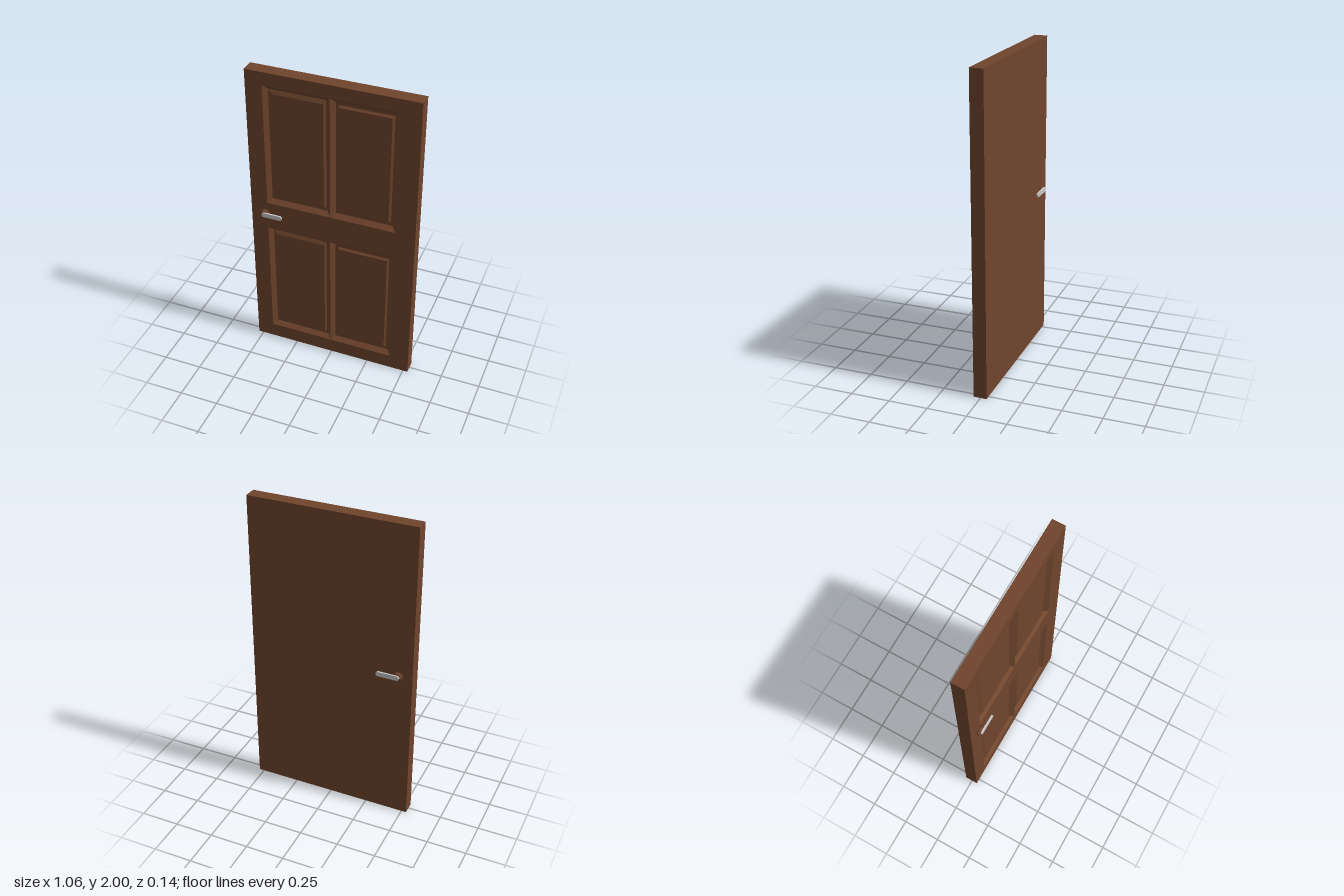
import * as THREE from 'three';

const brown = new THREE.MeshStandardMaterial({ color: 0x70452d });
brown.name = 'brown wood';
const grey = new THREE.MeshStandardMaterial({ color: 0xc8c8c8 });
grey.name = 'light grey metal';

const HALF_W = 0.532, HEIGHT = 2, FRONT = 0.041, BACK = -0.043, DEPTH = 0.025;

function add(parent, name, geometry, material) {
  const mesh = new THREE.Mesh(geometry, material);
  mesh.name = name;
  parent.add(mesh);
  return mesh;
}

function rectangle(target, x0, x1, y0, y1) {
  target.moveTo(x0, y0);
  target.lineTo(x1, y0);
  target.lineTo(x1, y1);
  target.lineTo(x0, y1);
  target.closePath();
  return target;
}

// Joins nested rectangles [x0, x1, y0, y1, z] into mitred slopes and caps the last one.
function steppedPanel(rects) {
  const loops = rects.map(([x0, x1, y0, y1, z]) => [[x0, y0, z], [x1, y0, z], [x1, y1, z], [x0, y1, z]]);
  const pos = [];
  const quad = (a, b, c, d) => pos.push(...a, ...b, ...c, ...a, ...c, ...d);
  for (let i = 0; i + 1 < loops.length; i++) {
    for (let k = 0; k < 4; k++) {
      const n = (k + 1) % 4;
      quad(loops[i][k], loops[i][n], loops[i + 1][n], loops[i + 1][k]);
    }
  }
  quad(...loops[loops.length - 1]);
  const g = new THREE.BufferGeometry();
  g.setAttribute('position', new THREE.Float32BufferAttribute(pos, 3));
  g.computeVertexNormals();
  return g;
}

// Rosette and lever, pointing out along +z from the origin
function handle(name, length) {
  const group = new THREE.Group();
  group.name = name;
  const profile = [[0.027, 0], [0.031, 0.004], [0.029, 0.009], [0.019, 0.018], [0, 0.018]]
    .map(([r, y]) => new THREE.Vector2(r, y));
  const rosetteGeometry = new THREE.LatheGeometry(profile, 20).toNonIndexed();
  rosetteGeometry.computeVertexNormals();
  const rosette = add(group, 'rosette', rosetteGeometry, brown);
  rosette.rotation.x = Math.PI / 2;

  const r = 0.015;
  const bar = new THREE.Shape();
  bar.absarc(0, 0, r, Math.PI / 2, Math.PI * 1.5, false);
  bar.absarc(length - 2 * r, 0, r, -Math.PI / 2, Math.PI / 2, false);
  bar.closePath();
  const lever = add(group, 'lever',
    new THREE.ExtrudeGeometry(bar, { depth: 0.011, bevelEnabled: false, curveSegments: 8 }), grey);
  lever.position.z = 0.017;
  return group;
}

export function createModel() {
  const model = new THREE.Group();
  model.name = 'door';
  const door = new THREE.Group();
  door.name = 'doorLeaf';
  door.rotation.y = -0.0055; // hangs very slightly ajar
  model.add(door);

  // Solid back of the leaf
  const slabDepth = FRONT - DEPTH - 0.002 - BACK;
  const slab = add(door, 'backSlab', new THREE.BoxGeometry(2 * HALF_W, HEIGHT - 0.001, slabDepth), brown);
  slab.position.set(0, HEIGHT / 2 + 0.0005, BACK + slabDepth / 2);

  // Front frame with an upper and a lower opening
  const rows = [[0.1, 0.915], [1.1, 1.915]];
  const X0 = -0.425, MID = -0.008, X1 = 0.407;
  const frame = rectangle(new THREE.Shape(), -HALF_W, HALF_W, 0.001, HEIGHT);
  for (const [y0, y1] of rows) frame.holes.push(rectangle(new THREE.Path(), X0, X1, y0, y1));
  const frameMesh = add(door, 'frontFrame',
    new THREE.ExtrudeGeometry(frame, { depth: DEPTH + 0.002, bevelEnabled: false }), brown);
  frameMesh.position.z = FRONT - DEPTH - 0.002;

  // Sunken panels with raised fields; the left ones sit up against the top and left slopes
  const floor = FRONT - DEPTH, raised = floor + 0.01, s = 0.027;
  for (const [y0, y1] of rows) {
    add(door, 'leftPanel', steppedPanel([
      [X0, MID, y0, y1, FRONT],
      [X0 + s, MID - s, y0 + s, y1 - s, floor],
      [X0 + s, MID - s - 0.006, y0 + s + 0.02, y1 - s, floor],
      [X0 + s + 0.026, MID - s - 0.018, y0 + s + 0.03, y1 - s - 0.026, raised],
    ]), brown);
    add(door, 'rightPanel', steppedPanel([
      [MID, X1, y0, y1, FRONT],
      [MID + s, X1 - s, y0 + s, y1 - s, floor],
      [MID + s + 0.014, X1 - s - 0.01, y0 + s + 0.02, y1 - s - 0.016, floor],
      [MID + s + 0.026, X1 - s - 0.022, y0 + s + 0.03, y1 - s - 0.028, raised],
    ]), brown);
  }

  // Grey underside
  const underside = add(door, 'underside', new THREE.PlaneGeometry(2 * HALF_W, FRONT - BACK), grey);
  underside.rotation.x = Math.PI / 2;
  underside.position.z = (FRONT + BACK) / 2;

  // Handles on both sides, levers pointing towards the middle
  const front = handle('frontHandle', 0.137);
  front.position.set(-0.441, 1.02, FRONT);
  const back = handle('backHandle', 0.15);
  back.position.set(-0.441, 1.02, BACK);
  back.rotation.y = Math.PI;
  back.children[1].position.x = 0;
  back.children[1].rotation.z = Math.PI;
  door.add(front, back);

  return model;
}
